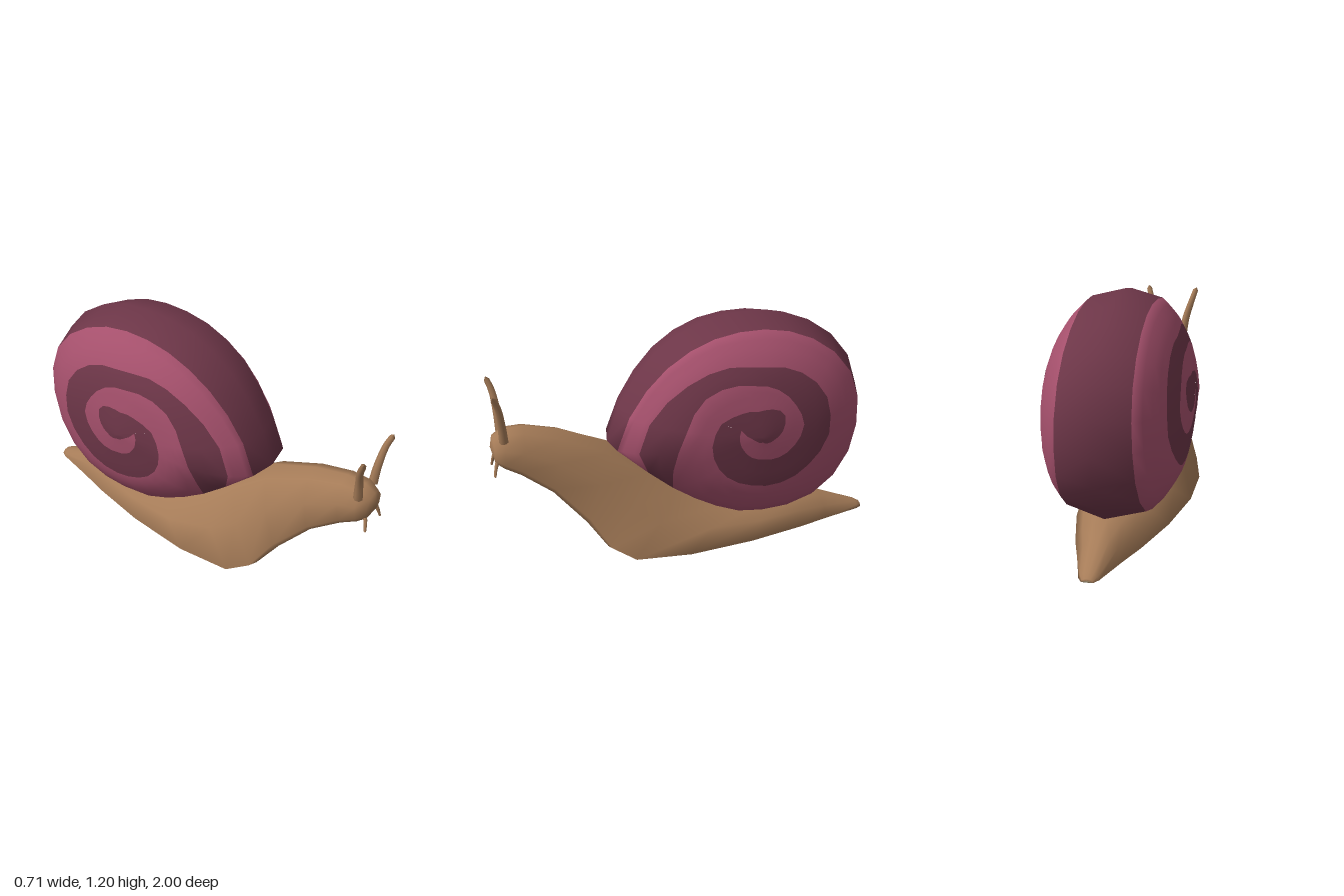
import * as THREE from 'three';
import { mergeVertices } from 'three/addons/utils/BufferGeometryUtils.js';

const mat = (name, color) => {
  const m = new THREE.MeshStandardMaterial({ color });
  m.name = name;
  return m;
};

// linear interpolation in a table of [key, value]
function lookup(table, t) {
  if (t <= table[0][0]) return table[0][1];
  for (let i = 1; i < table.length; i++) {
    const [a, va] = table[i - 1], [b, vb] = table[i];
    if (t <= b) return va + (vb - va) * (t - a) / (b - a);
  }
  return table[table.length - 1][1];
}

// smooth geometry from triangle corner positions; groups are [start, count, material]
function smooth(points, groups) {
  let g = new THREE.BufferGeometry().setFromPoints(points);
  groups.forEach(([start, count, index]) => g.addGroup(start, count, index));
  g = mergeVertices(g, 1e-5);
  g.computeVertexNormals();
  return g;
}

// ---- Body: stations from nose to tail [topZ, topY, bottomZ, bottomY, halfWidth, roundness]
const STATIONS = [
  [0.999, 0.61, 0.999, 0.61, 0, 1], [0.985, 0.665, 0.98, 0.54, 0.07, 1],
  [0.93, 0.7, 0.94, 0.515, 0.1, 1], [0.83, 0.705, 0.86, 0.475, 0.117, 0.85],
  [0.65, 0.665, 0.71, 0.37, 0.145, 0.6], [0.41, 0.57, 0.55, 0.19, 0.18, 0.4],
  [0.22, 0.44, 0.455, 0.065, 0.25, 0.05], [0.05, 0.32, 0.34, 0.005, 0.285, 0],
  [-0.2, 0.19, 0.05, 0, 0.29, 0], [-0.42, 0.16, -0.3, 0, 0.24, 0],
  [-0.62, 0.15, -0.6, 0, 0.165, 0], [-0.75, 0.12, -0.77, 0, 0.11, 0],
  [-0.97, 0.035, -0.97, 0, 0.05, 0.3], [-1, 0.018, -1, 0, 0.03, 0.3], [-1, 0.01, -1, 0.01, 0, 0],
];
// half cross-sections, [depth from top, width]
const ROUND = [[0, 0], [0.08, 0.55], [0.45, 1], [0.85, 0.95], [1, 0.72], [1, 0]];
const WEDGE = [[0, 0], [0.09, 0.42], [0.45, 0.77], [0.96, 1], [1, 0.77], [1, 0]];

function bodyRing([tz, ty, bz, by, w, k]) {
  const half = ROUND.map(([u, x], i) => {
    const d = THREE.MathUtils.lerp(WEDGE[i][0], u, k);
    const px = THREE.MathUtils.lerp(WEDGE[i][1], x, k) * w;
    return new THREE.Vector3(px, ty + (by - ty) * d, tz + (bz - tz) * d);
  });
  const mirrored = half.slice(1).map((p) => new THREE.Vector3(-p.x, p.y, p.z));
  return [...half.slice().reverse(), ...mirrored];
}

// patches: [firstRow, lastRow, firstColumn, lastColumn, material]
function loft(rings, patches) {
  const pts = [], groups = [];
  for (const [r0, r1, c0, c1, material] of patches) {
    const first = pts.length;
    for (let i = r0; i < r1; i++)
      for (let j = c0; j < c1; j++) {
        const a = rings[i][j], b = rings[i + 1][j], c = rings[i + 1][j + 1], d = rings[i][j + 1];
        pts.push(a, b, c, a, c, d);
      }
    groups.push([first, pts.length - first, material]);
  }
  return smooth(pts, groups);
}

// ---- Shell: polar around a centre in the side plane (degrees, 0 = front, 90 = up)
const CZ = -0.3, CY = 0.66, START = -37.5, STEP = 15, EDGE = 0.91;
const OUTLINE = [
  [-7.5, 0.715], [15, 0.62], [36, 0.58], [57, 0.55], [79, 0.534], [102, 0.541], [125, 0.574],
  [146, 0.613], [163, 0.639], [183, 0.636], [205, 0.64], [226, 0.63], [239, 0.6],
  [260, 0.555], [292, 0.525], [316, 0.53], [340, 0.617], [352.5, 0.715],
];
// where the plum rim ends, as a share of the outline
const RIM = [[-7.5, 0.965], [15, 0.955], [45, 0.935], [80, 0.92], [120, 0.91], [300, 0.91], [352.5, 0.965]];
const DOME = [[0, 0.357], [0.2, 0.345], [0.5, 0.32], [0.62, 0.298], [0.78, 0.248], [EDGE, 0.18], [1, 0]];
// outer and inner edge of the dark spiral, unwound over two turns
const DARK_OUT = [
  [-37, 0.7], [-25, 0.59], [-12, 0.615], [7, 0.545], [31, 0.455], [53, 0.404], [90, 0.335],
  [113, 0.354], [153, 0.39], [188, 0.378], [219, 0.33], [278, 0.28], [317, 0.27], [351, 0.253],
  [383, 0.22], [405, 0.17], [446, 0.13], [497, 0.163], [522, 0.126], [560, 0.07], [620, 0.03],
  [690, 0.035], [720, 0.054], [742.5, 0.115],
];
const DARK_IN = [
  [-37, 0.51], [6, 0.377], [38, 0.345], [81, 0.263], [140, 0.23], [174, 0.23],
  [204, 0.192], [263, 0.13], [324, 0.112], [382.5, 0.115],
];
const wrap = (t) => ((t + 7.5) % 360 + 360) % 360 - 7.5;
const outline = (t) => lookup(OUTLINE, wrap(t));
const rim = (t) => lookup(RIM, wrap(t)) * outline(t);
const darkOut = (t) => Math.min(lookup(DARK_OUT, t), rim(t));
const darkIn = (t) => (t <= START ? rim(t) : Math.min(lookup(DARK_IN, t), darkOut(t)));

function shellPoint(side, t, r) {
  const a = THREE.MathUtils.degToRad(t), s = r / outline(t), e = lookup(RIM, wrap(t));
  const u = s <= e ? s * EDGE / e : EDGE + (s - e) * (1 - EDGE) / (1 - e);
  // fuller below, narrowing towards the front tip
  const belly = 1 - 0.12 * s * s * Math.sin(a);
  const taper = 1 - 0.35 * s ** 8 * Math.max(0, Math.cos(a)) ** 4;
  return new THREE.Vector3(side * lookup(DOME, u) * belly * taper, CY + r * Math.sin(a), CZ + r * Math.cos(a));
}

function shellGeometry() {
  // [outer edge, inner edge, from, to, subdivisions, colour index]
  const end = START + 28 * STEP;
  const bands = [
    [outline, rim, START, START + 360, 1, 1],
    [rim, darkOut, START, START + 360, 4, 0],
    [darkOut, darkIn, START, end, 2, 1],
    [darkIn, (t) => darkOut(t + 360), START, end, 4, 0],
    [darkOut, () => 0, end, end + 360, 2, 1],
  ];
  const pts = [], groups = [];
  for (const [outer, inner, from, to, n, colour] of bands) {
    const first = pts.length;
    for (const side of [1, -1])
      for (let t = from; t < to - 0.1; t += STEP)
        for (let k = 0; k < n; k++) {
          const p = (tt, f) => shellPoint(side, tt, THREE.MathUtils.lerp(outer(tt), inner(tt), f / n));
          const a = p(t, k), b = p(t + STEP, k), c = p(t + STEP, k + 1), d = p(t, k + 1);
          if (side > 0) pts.push(a, c, b, a, d, c);
          else pts.push(a, b, c, a, c, d);
        }
    groups.push([first, pts.length - first, colour]);
  }
  return smooth(pts, groups);
}

// ---- Tapered stalk with a blunt tip
function stalk(path, r0, r1) {
  const curve = new THREE.CatmullRomCurve3(path.map((p) => new THREE.Vector3(...p)));
  const n = 16, sides = 7;
  const g = new THREE.TubeGeometry(curve, n, 1, sides);
  const pos = g.attributes.position, v = new THREE.Vector3();
  for (let i = 0; i <= n; i++) {
    // the last ring shrinks to a point to close the tip
    const c = curve.getPointAt(i / n);
    const r = i === n ? 0 : THREE.MathUtils.lerp(r0, r1, i / (n - 1));
    for (let j = 0; j <= sides; j++) {
      const id = i * (sides + 1) + j;
      v.fromBufferAttribute(pos, id).sub(c).multiplyScalar(r).add(c);
      pos.setXYZ(id, v.x, v.y, v.z);
    }
  }
  return g;
}

export function createModel() {
  const skin = mat('skin brown', 0xa67c58);
  const soleTan = mat('sole tan', 0xbfa882);
  const light = mat('shell rose', 0xa5506c);
  const dark = mat('shell plum', 0x6d3648);
  const model = new THREE.Group();
  model.name = 'snail';
  const add = (name, geometry, material) => {
    const m = new THREE.Mesh(geometry, material);
    m.name = name;
    model.add(m);
  };

  // body: brown back, flanks and throat edges, tan throat and sole
  const rings = STATIONS.map(bodyRing), last = rings.length - 1;
  add('body', loft(rings, [
    [0, last, 2, 8, 0], [0, 2, 0, 2, 0], [0, 2, 8, 10, 0], [2, 7, 1, 2, 0], [2, 7, 8, 9, 0],
    [2, last, 0, 1, 1], [2, last, 9, 10, 1], [7, last, 1, 2, 1], [7, last, 8, 9, 1],
  ]), [skin, soleTan]);

  // spiral shell
  add('shell', shellGeometry(), [light, dark]);

  // eye stalks and feelers, mirrored
  for (const [side, label] of [[1, 'left'], [-1, 'right']]) {
    const flip = (path) => path.map(([x, y, z]) => [x * side, y, z]);
    add(label + 'EyeStalk', stalk(flip([[0.072, 0.66, 0.935], [0.09, 0.76, 0.943],
      [0.12, 0.86, 0.958], [0.141, 0.928, 0.983]]), 0.024, 0.015), skin);
    add(label + 'Feeler', stalk(flip([[0.048, 0.56, 0.965], [0.06, 0.52, 0.98],
      [0.074, 0.47, 0.99]]), 0.012, 0.006), skin);
  }
  return model;
}
